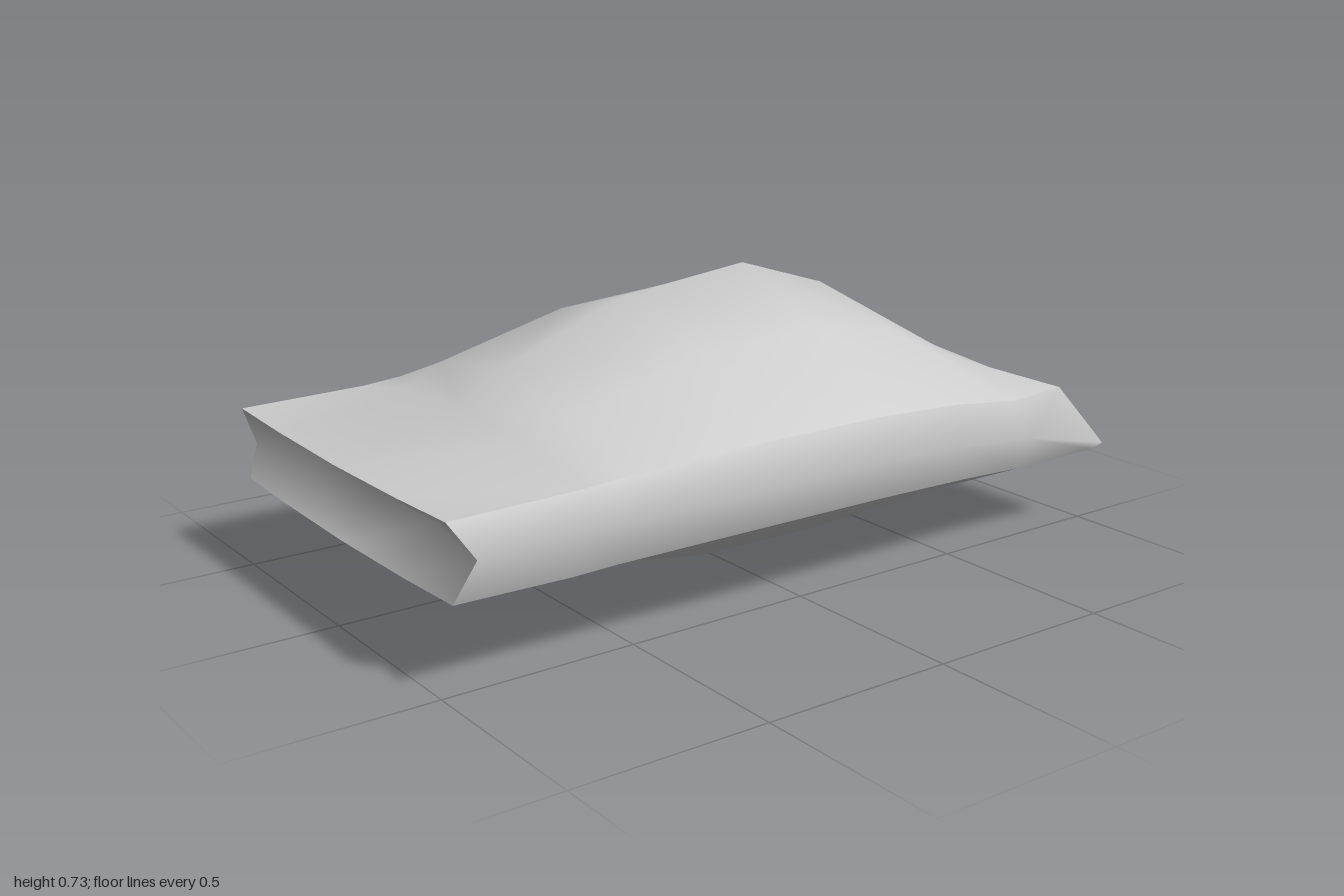
import * as THREE from 'three';

// one smooth patch through a grid of points, rows running front to back
function patch(name, rows) {
  const n = rows[0].length, index = [];
  for (let r = 0; r < rows.length - 1; r++) {
    for (let c = 0; c < n - 1; c++) {
      const a = r * n + c, b = a + 1, d = a + n, e = d + 1;
      // mirror the diagonal about the centre line
      if (c < (n - 1) / 2) index.push(a, b, d, b, e, d);
      else index.push(a, b, e, a, e, d);
    }
  }
  const geo = new THREE.BufferGeometry();
  geo.setAttribute('position', new THREE.Float32BufferAttribute(rows.flat(2), 3));
  geo.setIndex(index);
  geo.computeVertexNormals();
  const mesh = new THREE.Mesh(geo, new THREE.MeshStandardMaterial({ color: 0xcccccc, side: THREE.DoubleSide }));
  mesh.name = name;
  return mesh;
}

// one line across a panel: height falls from the centre to both edges
const across = (z, edgeX, edgeY, midY, midZ = z) => [
  [-edgeX, edgeY, z],
  [-0.31, edgeY + 0.64 * (midY - edgeY), z],
  [0, midY, midZ],
  [0.31, edgeY + 0.64 * (midY - edgeY), z],
  [edgeX, edgeY, z],
];

export function createModel() {
  const group = new THREE.Group();
  group.name = 'pillow';

  // puffed upper and lower panels: z, edge x, edge y, centre y
  const top = [
    [0.99, 0.53, 0.413, 0.4],
    [0.65, 0.53, 0.418, 0.48],
    [0.54, 0.535, 0.425, 0.56],
    [0.17, 0.55, 0.44, 0.695],
    [-0.2, 0.55, 0.44, 0.735],
    [-0.47, 0.545, 0.425, 0.65],
    [-0.7, 0.53, 0.395, 0.5],
    [-0.86, 0.53, 0.405, 0.4, -0.83],
  ].map((p) => across(...p));
  const bottom = [
    [0.98, 0.53, 0.225, 0.212],
    [0.68, 0.53, 0.22, 0.18],
    [0.56, 0.535, 0.225, 0.11],
    [0.17, 0.55, 0.23, 0.01],
    [-0.2, 0.55, 0.228, 0.003],
    [-0.5, 0.54, 0.218, 0.04],
    [-0.72, 0.53, 0.205, 0.13],
    [-0.98, 0.55, 0.215, 0.21, -0.93],
  ].map((p) => across(...p));

  // outermost line of the side bands: z, x, y
  const rim = [
    [0.94, 0.57, 0.33], [0.66, 0.57, 0.33], [0.55, 0.58, 0.335], [0.17, 0.597, 0.34],
    [-0.2, 0.597, 0.34], [-0.48, 0.585, 0.325], [-0.71, 0.575, 0.3], [-1, 0.57, 0.235],
  ];
  const left = rim.map(([z, x, y]) => [x, y, z]);
  const right = rim.map(([z, x, y], i) => [-x, i < 7 ? y - 0.03 : y, z]);

  group.add(patch('topPanel', top));
  group.add(patch('bottomPanel', bottom.map((r) => [...r].reverse())));
  group.add(patch('leftSide', top.map((r, i) => [r[4], left[i], bottom[i][4]])));
  group.add(patch('rightSide', top.map((r, i) => [bottom[i][0], right[i], r[0]])));

  // front end, tucked inward between its two edges
  const tuck = [right[0], [-0.31, 0.33, 0.9], [0, 0.32, 0.88], [0.31, 0.33, 0.9], left[0]];
  group.add(patch('frontEnd', [bottom[0], tuck, top[0]]));

  // back end, sloping out to a thin lip dented in the middle
  const lip = [right[7], [-0.28, 0.235, -1], [0, 0.23, -0.95], [0.28, 0.235, -1], left[7]];
  group.add(patch('backEnd', [top[7], lip, bottom[7]]));

  return group;
}
